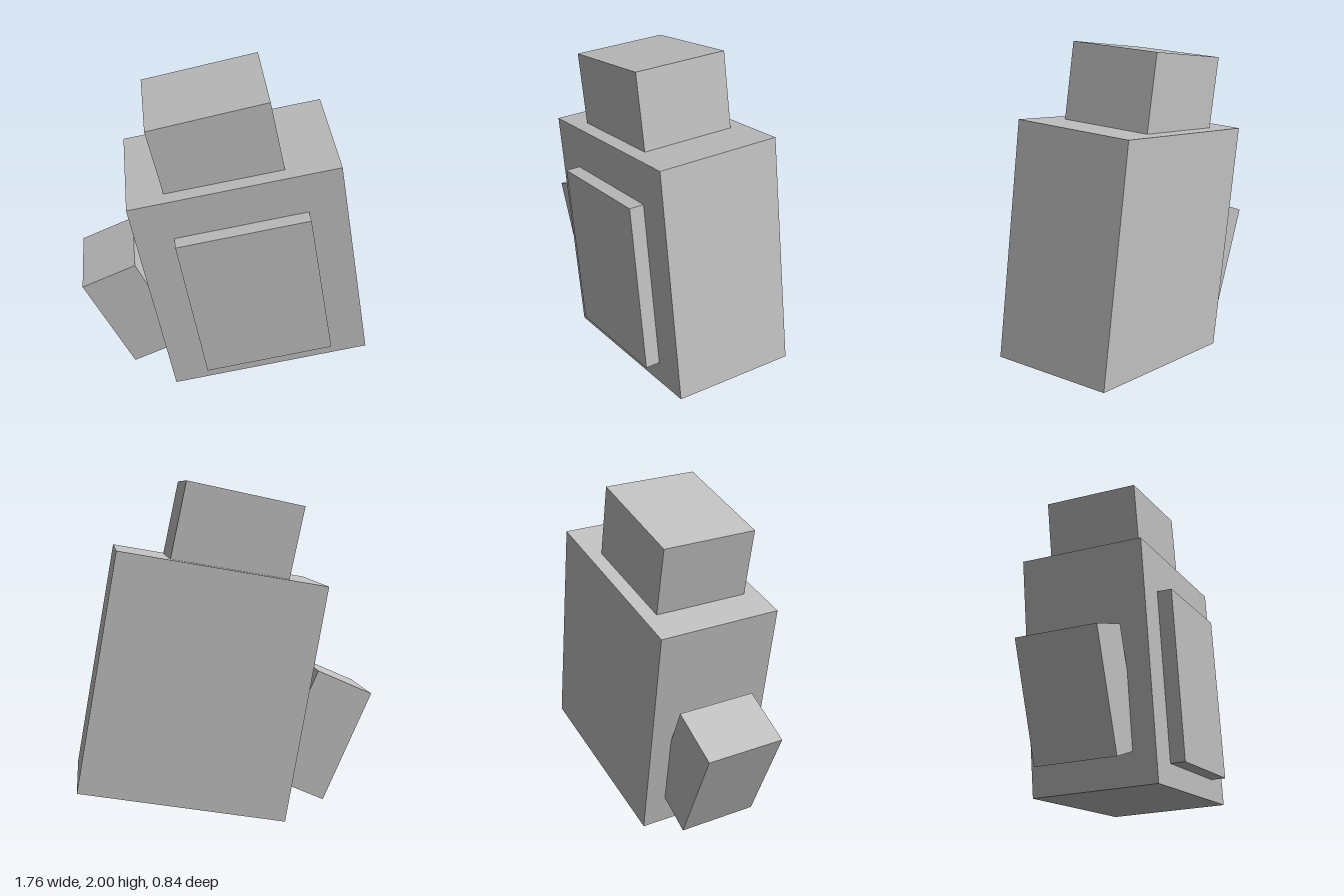
import * as THREE from 'three';

export function createModel() {
  const model = new THREE.Group();
  const grey = new THREE.MeshStandardMaterial({ color: 0xc0c0c0 });
  grey.name = 'grey';

  // a box leaning in the front plane: size, centre and lean in degrees
  function block(name, size, centre, lean) {
    const mesh = new THREE.Mesh(new THREE.BoxGeometry(...size), grey);
    mesh.name = name;
    mesh.position.set(...centre);
    mesh.rotation.z = THREE.MathUtils.degToRad(lean);
    model.add(mesh);
  }

  // main body, leaning to one side
  block('body', [1.239, 1.416, 0.752], [0.147, 0.805, -0.044], 10);
  // raised panel, sunk slightly into the front of the body
  block('frontPanel', [0.792, 1.018, 0.14], [0.158, 0.744, 0.35], 10);
  // head block, its base hidden inside the body
  block('head', [0.705, 0.6, 0.575], [-0.053, 1.634, -0.045], 12);
  // side block, its inner corner hidden inside the body
  block('sideBlock', [0.356, 0.708, 0.484], [-0.578, 0.485, -0.047], 24);

  return model;
}
